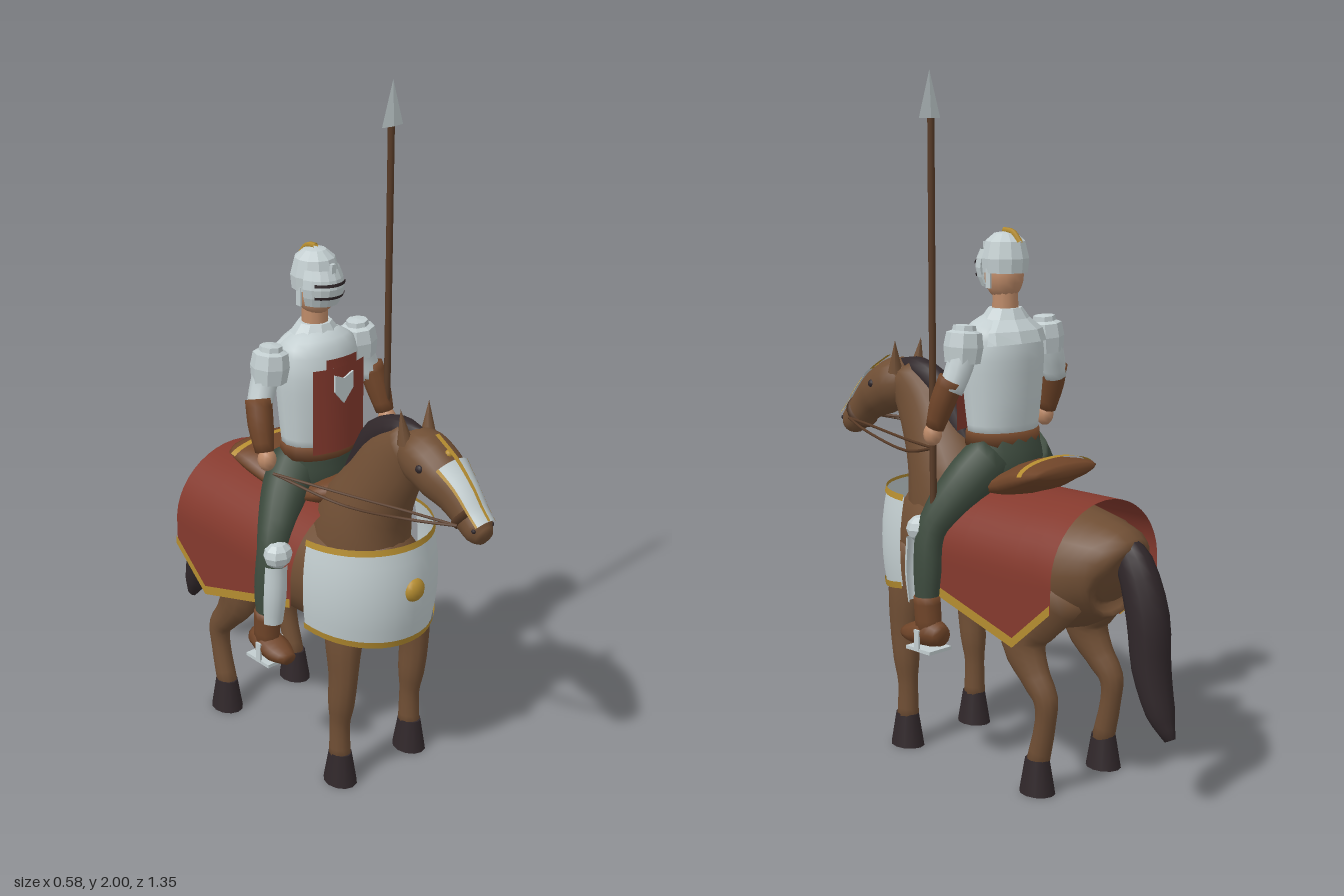
import * as THREE from 'three';

const V = (x, y, z) => new THREE.Vector3(x, y, z);
const mat = (name, color, double) => {
  const m = new THREE.MeshStandardMaterial({ color });
  m.name = name;
  if (double) m.side = THREE.DoubleSide;
  return m;
};

// Surface over rows of points; closed rows wrap around and get end caps
function skin(rows, closed, flat) {
  const n = rows[0].length, pos = [], idx = [];
  rows.forEach(r => r.forEach(p => pos.push(p.x, p.y, p.z)));
  for (let i = 0; i < rows.length - 1; i++)
    for (let j = 0; j < (closed ? n : n - 1); j++) {
      const k = (j + 1) % n, a = i * n + j, b = i * n + k;
      idx.push(a, b, a + n, b, b + n, a + n);
    }
  if (closed) [0, rows.length - 1].forEach((r, end) => {
    const c = rows[r].reduce((s, p) => s.add(p), V(0, 0, 0)).divideScalar(n), ci = pos.length / 3;
    pos.push(c.x, c.y, c.z);
    for (let j = 0; j < n; j++) {
      const a = r * n + j, b = r * n + (j + 1) % n;
      end ? idx.push(ci, a, b) : idx.push(ci, b, a);
    }
  });
  let g = new THREE.BufferGeometry();
  g.setAttribute('position', new THREE.Float32BufferAttribute(pos, 3));
  g.setIndex(idx);
  if (flat) g = g.toNonIndexed();
  g.computeVertexNormals();
  return g;
}

// Elliptical sections [x, y, z, halfWidth, halfDepth] along a smooth path; arc = [from, to] makes an open patch
function loft(pts, { seg = 14, sub = 3, arc, flat } = {}) {
  const path = new THREE.CatmullRomCurve3(pts.map(p => V(p[0], p[1], p[2])));
  const size = new THREE.CatmullRomCurve3(pts.map(p => V(p[3], p[4], 0)));
  const n = (pts.length - 1) * sub, rows = [];
  for (let i = 0; i <= n; i++) {
    const c = path.getPoint(i / n), r = size.getPoint(i / n), t = path.getTangent(i / n);
    const side = V(1, 0, 0).addScaledVector(t, -t.x).normalize(), dep = t.clone().cross(side);
    rows.push(Array.from({ length: arc ? seg + 1 : seg }, (_, j) => {
      const a = arc ? arc[0] + (arc[1] - arc[0]) * j / seg : j / seg * Math.PI * 2;
      return c.clone().addScaledVector(side, r.x * Math.cos(a)).addScaledVector(dep, r.y * Math.sin(a));
    }));
  }
  return skin(rows, !arc, flat);
}

// Open sheet from f(u, v), u in -1..1, v in 0..1
const sheet = (f, nu, nv, flat) => skin(Array.from({ length: nv + 1 }, (_, i) =>
  Array.from({ length: nu + 1 }, (_, j) => f(j / nu * 2 - 1, i / nv))), false, flat);
const grow = (pts, d) => pts.map(p => [p[0], p[1], p[2], p[3] + d, p[4] + d]);
const flatten = g => { const f = g.toNonIndexed(); f.computeVertexNormals(); return f; };

export function createModel() {
  const root = new THREE.Group();
  root.name = 'mountedKnight';
  const coat = mat('horseBrown', 0x6f4e34), hair = mat('darkHair', 0x30272a), steel = mat('steel', 0xc3ced0, true),
    red = mat('redCloth', 0x84392d, true), gold = mat('gold', 0xb48c30, true), green = mat('greenCloth', 0x3e4c3f),
    flesh = mat('skin', 0xbd8a68), leather = mat('leather', 0x704529, true), wood = mat('darkWood', 0x583b27);
  const add = (name, geo, m, x = 0, y = 0, z = 0) => {
    const o = new THREE.Mesh(geo, m);
    o.name = name;
    o.position.set(x, y, z);
    root.add(o);
    return o;
  };

  // Horse body, neck, head
  add('horseBody', loft([[0, .64, -.49, .08, .09], [0, .65, -.47, .115, .125], [0, .65, -.42, .15, .145], [0, .635, -.28, .185, .185],
    [0, .62, -.1, .19, .185], [0, .62, .08, .185, .185], [0, .64, .22, .165, .175], [0, .66, .32, .11, .13], [0, .66, .36, .04, .05]], { seg: 20 }), coat);
  add('horseNeck', loft([[0, .66, .16, .14, .17], [0, .8, .19, .125, .15], [0, .92, .25, .095, .115], [0, 1.03, .32, .068, .1], [0, 1.1, .39, .055, .07]], { seg: 18 }), coat);
  const head = [[0, 1.08, .36, .05, .06], [0, 1.07, .43, .076, .08], [0, 1.035, .5, .072, .074], [0, 1, .555, .055, .06],
    [0, .955, .605, .045, .048], [0, .927, .64, .042, .042], [0, .915, .664, .024, .026]];
  add('horseHead', loft(head, { seg: 18 }), coat);
  const up = Math.PI / 2, face = head.slice(2, 6);
  add('facePlate', loft(grow(face, .006), { arc: [up - .75, up + .75] }), steel);
  add('facePlateRidge', loft(grow(head.slice(1, 6), .011), { seg: 2, arc: [up - .08, up + .08] }), gold);
  for (const e of [-.8, .8])
    add('facePlateTrim', loft(grow(face, .008), { seg: 2, arc: [up + e - .06, up + e + .06] }), gold);
  add('facePlateBoss', new THREE.SphereGeometry(.012, 10, 8), gold, 0, 1.108, .515);
  add('noseband', loft([[0, .965, .593, .051, .055], [0, .952, .608, .05, .053]], { sub: 1, seg: 18 }), wood);
  add('mane', loft([[0, .88, .1, .015, .02], [0, .98, .175, .034, .04], [0, 1.07, .24, .038, .05], [0, 1.125, .33, .036, .035], [0, 1.135, .41, .015, .015]]), hair);
  add('tail', loft([[0, .74, -.47, .025, .035], [0, .68, -.525, .048, .055], [0, .54, -.575, .056, .062], [0, .4, -.59, .054, .055],
    [0, .28, -.625, .042, .04], [0, .21, -.66, .012, .018]]), hair);

  // Paired horse parts
  for (const s of [-1, 1]) {
    const ear = add('horseEar', new THREE.ConeGeometry(.023, .1, 8), coat, s * .048, 1.16, .388);
    ear.rotation.set(-.1, 0, -s * .1);
    add('horseEye', new THREE.SphereGeometry(.013, 10, 8), hair, s * .066, 1.07, .475);
    add('nostril', new THREE.SphereGeometry(.007, 8, 6), hair, s * .034, .94, .65);
    add('frontLeg', loft([[s * .11, .62, .24, .055, .09], [s * .135, .47, .25, .046, .064], [s * .14, .36, .255, .037, .05],
      [s * .14, .27, .248, .037, .043], [s * .14, .19, .242, .029, .032], [s * .14, .08, .243, .032, .036]], { seg: 12 }), coat);
    add('hindLeg', loft([[s * .1, .62, -.32, .07, .13], [s * .12, .5, -.25, .062, .105], [s * .13, .42, -.235, .052, .074],
      [s * .135, .34, -.28, .04, .048], [s * .138, .28, -.325, .034, .038], [s * .138, .21, -.325, .029, .031], [s * .138, .08, -.295, .031, .035]], { seg: 12 }), coat);
    for (const z of [.245, -.297])
      add('hoof', new THREE.CylinderGeometry(.038, .056, .1, 12), hair, s * .14, .05, z).scale.x = .82;
    // Two rein strands a side
    for (const sag of [.0, .035])
      add('rein', new THREE.TubeGeometry(new THREE.CatmullRomCurve3([V(s * .05, .945, .605), V(s * (.085 + sag * .5), .945 - sag * .4, .47),
        V(s * .14, .94 - sag, .25), V(s * .215, .95, .04)]), 16, .0045, 6), wood);
  }

  // Curved breastplate of the horse with trim
  const chest = (u, y, d) => {
    const k = (y - .48) / .305, w = (.94 + .3 * k * (1 - k)) + d, a = u * 1.5;
    return V(.222 * w * Math.sin(a), y, .16 + .238 * w * Math.cos(a));
  };
  const hem = u => .485 + .035 * u * u;
  add('chestPlate', sheet((u, v) => chest(u, hem(u) + v * (.785 - hem(u)), 0), 20, 6), steel);
  add('chestTrimTop', sheet((u, v) => chest(u, .775 + v * .018, .02), 20, 1), gold);
  add('chestTrimBottom', sheet((u, v) => chest(u, hem(u) - .006 + v * .02, .02), 20, 1), gold);
  add('chestBoss', new THREE.SphereGeometry(.036, 14, 10), gold, 0, .65, .395).scale.z = .7;

  // Arched cloth over the back, hem dropping to a point
  const drop = z => z > -.28 ? .44 + (z + .28) * .3 : .44 + (-.28 - z) * .86;
  const zs = [-.42, -.35, -.28, -.08, .12];
  const cloth = (u, z) => {
    const s = Math.abs(u) / .7, a = Math.min(s, 1) * Math.PI / 2;
    return V(Math.sign(u) * .222 * Math.sin(a), s < 1 ? .64 + .2 * Math.cos(a) : .64 + (drop(z) - .64) * (s - 1) / (3 / 7), z);
  };
  add('horseCloth', sheet((u, v) => cloth(u, zs[Math.round(v * 4)]), 30, 4), red);
  for (const s of [-1, 1])
    add('clothTrim', sheet((u, v) => V(s * .227, drop(zs[Math.round(v * 4)]) + .012 + u * .014, zs[Math.round(v * 4)]), 1, 4), gold);

  // Saddle
  const saddle = [[0, .9, -.277, .11, .015], [0, .895, -.25, .145, .03], [0, .875, -.18, .142, .048], [0, .845, -.09, .125, .04],
    [0, .845, .02, .12, .035], [0, .86, .09, .1, .04], [0, .87, .125, .07, .02]];
  add('saddle', loft(saddle, { seg: 16 }), leather);
  add('saddleTrim', loft([[0, .893, -.24, .15, .04], [0, .888, -.222, .15, .046]], { sub: 1, arc: [.15, Math.PI - .15] }), gold);

  // Rider torso
  add('hips', loft([[0, .83, -.03, .1, .09], [0, .9, -.03, .125, .1], [0, .98, -.02, .115, .085]]), green);
  add('belt', loft([[0, .95, -.02, .123, .094], [0, .99, -.02, .12, .092]], { sub: 1, seg: 16 }), leather);
  add('bodyArmour', loft([[0, .975, -.02, .114, .085], [0, 1.08, -.02, .124, .098], [0, 1.2, -.02, .134, .104], [0, 1.28, -.025, .12, .09], [0, 1.32, -.03, .06, .05]], { seg: 16 }), steel);
  add('collar', loft([[0, 1.235, -.035, .125, .105], [0, 1.275, -.03, .118, .096], [0, 1.31, -.03, .075, .065], [0, 1.34, -.03, .05, .048]], { seg: 10, sub: 1, flat: true }), steel);
  add('tabard', sheet((u, v) => V(.095 * u, .98 + v * .255, .092 - .02 * u * u), 6, 2), red);
  add('tabardTop', sheet((u, v) => V(.056 * u, 1.235 + v * .028, .092 - .007 * u * u), 4, 1), red);
  const badge = new THREE.Shape([[-.034, 1.215], [-.034, 1.165], [0, 1.125], [.034, 1.165], [.034, 1.215], [0, 1.2]].map(p => new THREE.Vector2(...p)));
  add('shieldBadge', new THREE.ExtrudeGeometry(badge, { depth: .006, bevelEnabled: false }), steel, 0, 0, .091);

  // Rider head and helmet
  add('neck', new THREE.CylinderGeometry(.036, .04, .12, 12), flesh, 0, 1.36, -.03);
  add('head', new THREE.SphereGeometry(.055, 14, 12), flesh, 0, 1.43, -.025).scale.set(1, 1.3, 1.05);
  const dome = [[.066, 1.44], [.07, 1.48], [.058, 1.528], [.032, 1.55], [0, 1.556]].map(p => new THREE.Vector2(...p));
  add('helmet', flatten(new THREE.LatheGeometry(dome, 12)), steel, 0, 0, -.03);
  const visor = (y0, y1, a, d) => sheet((u, v) => {
    const y = y0 + v * (y1 - y0), r = .073 + d + .022 * Math.cos((y - 1.455) * 26);
    return V(Math.sin(u * a) * r * .78, y, -.03 + Math.cos(u * a) * r);
  }, 8, 4, true);
  add('visor', visor(1.4, 1.505, 1.25, 0), steel);
  for (const y of [1.425, 1.462])
    add('visorSlit', visor(y, y + .009, .85, .003), hair).material = mat0(hair);
  add('visorTab', new THREE.BoxGeometry(.014, .035, .012), steel, 0, 1.505, .046);
  add('crest', new THREE.TubeGeometry(new THREE.CatmullRomCurve3([V(0, 1.525, -.088), V(0, 1.553, -.06), V(0, 1.558, -.025)]), 8, .009, 6), gold);

  // Paired rider parts
  for (const s of [-1, 1]) {
    add('cheekStrap', new THREE.BoxGeometry(.006, .055, .018), steel, s * .062, 1.425, -.025);
    const cap = [[.03, -.055], [.05, -.055], [.056, -.01], [.05, .03], [.034, .036], [.032, .05], [0, .054]].map(p => new THREE.Vector2(...p));
    add('shoulderGuard', flatten(new THREE.LatheGeometry(cap, 8)), steel, s * .165, 1.252, -.03).rotation.z = s * .08;
    add('upperArm', loft([[s * .16, 1.26, -.03, .042, .042], [s * .185, 1.19, -.035, .038, .04], [s * .213, 1.12, -.025, .035, .037]], { seg: 10 }), steel);
    add('gauntlet', loft([[s * .21, 1.155, -.028, .037, .04], [s * .222, 1.09, -.005, .036, .038], [s * .229, 1.015, .02, .026, .028]], { seg: 10 }), leather);
    add('hand', new THREE.SphereGeometry(.027, 10, 8), flesh, s * .229, .995, .03).scale.y = 1.25;
    add('leg', loft([[s * .06, .92, -.04, .075, .075], [s * .125, .86, -.015, .068, .072], [s * .19, .78, .02, .052, .058],
      [s * .227, .71, .042, .042, .045], [s * .242, .6, .042, .038, .044], [s * .245, .49, .042, .03, .035]], { seg: 12 }), green);
    add('kneeGuard', flatten(new THREE.SphereGeometry(.044, 8, 6)), steel, s * .232, .715, .078).scale.set(1.05, .9, .9);
    add('greave', loft([[s * .243, .69, .062, .042, .05], [s * .248, .6, .06, .043, .054], [s * .25, .505, .056, .036, .046]], { seg: 8, arc: [up - 1.2, up + 1.2] }), steel);
    add('bootShaft', loft([[s * .245, .525, .042, .037, .042], [s * .243, .41, .035, .035, .042]], { seg: 10 }), leather);
    add('bootFoot', loft([[s * .241, .415, -.022, .026, .028], [s * .241, .42, .02, .04, .042], [s * .241, .408, .085, .044, .034], [s * .241, .4, .135, .024, .018]], { seg: 10 }), leather);
    add('stirrup', new THREE.BoxGeometry(.085, .01, .1), steel, s * .241, .371, .04);
    for (const e of [-.041, .041])
      add('stirrupSide', new THREE.BoxGeometry(.006, .06, .02), steel, s * .241 + e, .4, .045);
  }

  // Lance with flat blade
  add('lanceShaft', new THREE.CylinderGeometry(.01, .01, 1.37, 10), wood, .228, 1.185, .03);
  add('lanceTip', flatten(new THREE.ConeGeometry(.04, .13, 4)), steel, .228, 1.935, .035).scale.z = .16;
  return root;
}

// Single-sided hair colour is enough for outward-facing slits
function mat0(m) {
  m.side = THREE.DoubleSide;
  return m;
}
